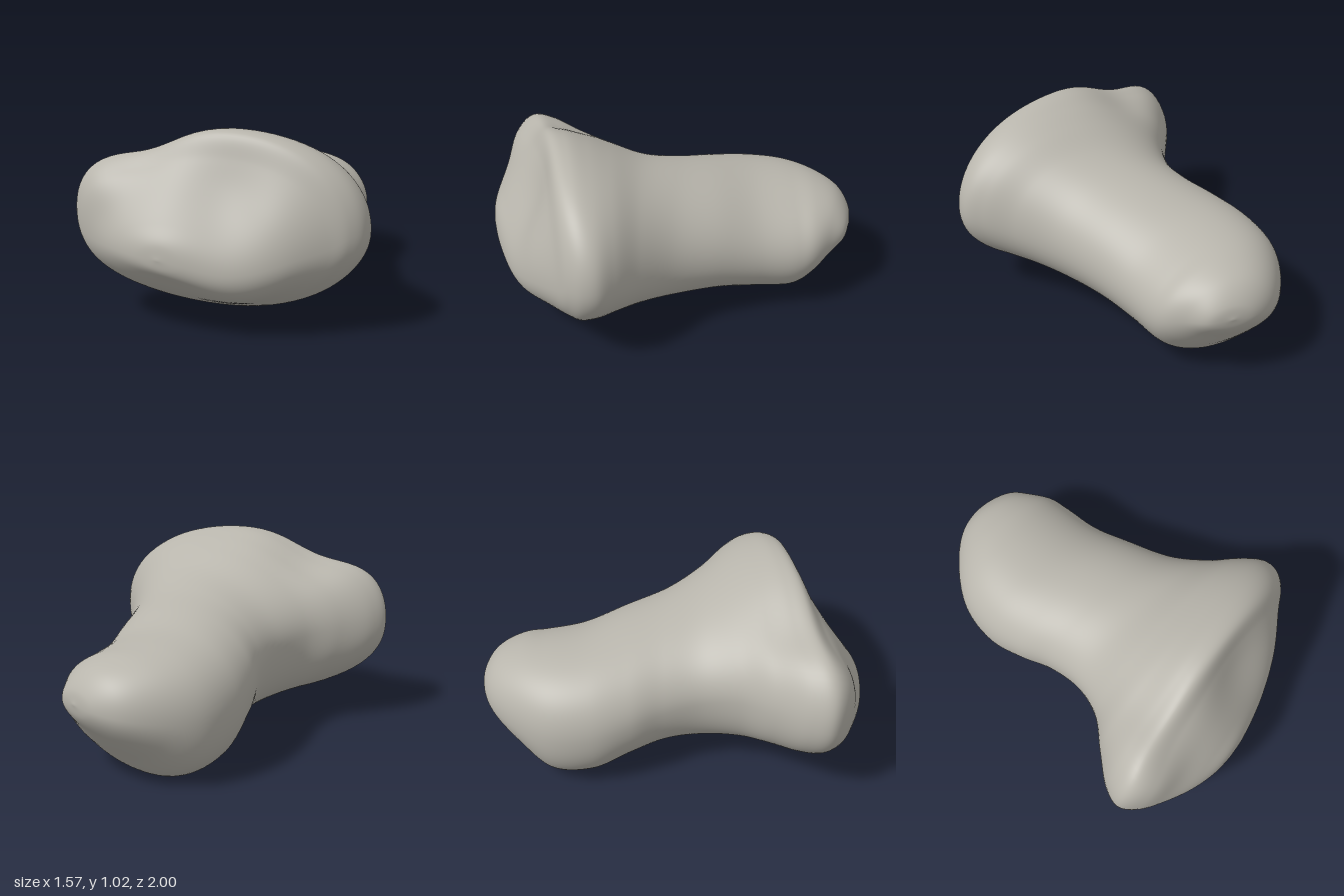
import * as THREE from 'three';
import { mergeVertices } from 'three/addons/utils/BufferGeometryUtils.js';

// Cross-sections from the back end to the front end:
// right edge x, z | left edge x, z | top, widest and bottom height | sideways skew of top and bottom
const SECTIONS = [
  [-0.48, -0.98, -0.23, -0.985, 0.50, 0.42, 0.36, 0, 0],
  [-0.61, -0.90, -0.14, -0.92, 0.585, 0.40, 0.265, -0.05, 0],
  [-0.72, -0.73, -0.05, -0.85, 0.64, 0.37, 0.135, -0.1, -0.05],
  [-0.78, -0.52, 0.00, -0.77, 0.67, 0.345, 0.01, -0.12, -0.18],
  [-0.745, -0.30, 0.08, -0.58, 0.70, 0.36, 0.01, -0.1, -0.18],
  [-0.65, -0.12, 0.20, -0.38, 0.745, 0.41, 0.06, 0, -0.1],
  [-0.54, 0.03, 0.36, -0.16, 0.79, 0.45, 0.08, 0.04, -0.1],
  [-0.46, 0.22, 0.53, -0.02, 0.85, 0.49, 0.09, 0.08, -0.2],
  [-0.46, 0.42, 0.68, 0.07, 0.935, 0.53, 0.095, 0.08, -0.2],
  [-0.53, 0.60, 0.765, 0.14, 0.99, 0.54, 0.10, 0.06, -0.1],
  [-0.595, 0.78, 0.785, 0.22, 1.025, 0.54, 0.10, 0.06, 0],
  [-0.59, 0.89, 0.76, 0.30, 1.015, 0.53, 0.125, 0.06, 0],
  [-0.50, 0.95, 0.70, 0.385, 0.90, 0.48, 0.165, 0.08, 0],
  [-0.36, 0.98, 0.57, 0.57, 0.74, 0.45, 0.23, 0.06, 0],
  [-0.20, 0.995, 0.40, 0.74, 0.60, 0.44, 0.31, 0, 0],
  [-0.05, 0.98, 0.20, 0.88, 0.51, 0.43, 0.37, 0, 0],
];
const BACK_TIP = new THREE.Vector3(-0.35, 0.43, -1);
const FRONT_TIP = new THREE.Vector3(0.07, 0.43, 0.945);

// Soft local swellings and hollows: centre, radius, push
const BUMPS = [
  // knob at the front corner
  { at: new THREE.Vector3(-0.42, 0.69, 0.85), r: 0.19, push: new THREE.Vector3(0, 0.03, 0.055) },
  // saddle between the knob and the crown
  { at: new THREE.Vector3(-0.24, 0.95, 0.64), r: 0.22, push: new THREE.Vector3(0, -0.07, 0) },
  // shallow dish in the upper front face
  { at: new THREE.Vector3(0.28, 0.74, 0.7), r: 0.23, push: new THREE.Vector3(-0.015, -0.02, -0.05) },
  // drooping lower lip of the front face
  { at: new THREE.Vector3(0.38, 0.4, 0.72), r: 0.26, push: new THREE.Vector3(0, -0.08, 0) },
];

const softPow = (v) => Math.sign(v) * Math.pow(Math.abs(v), 0.97);

// One point on the rounded outline of a section
function outlinePoint([x0, z0, x1, z1, top, mid, bottom, skewTop, skewBottom], angle) {
  const c = softPow(Math.cos(angle)), s = softPow(Math.sin(angle));
  const across = c + (s > 0 ? skewTop : skewBottom) * s * s;
  return new THREE.Vector3(
    (x0 + x1) / 2 + across * (x1 - x0) / 2,
    mid + s * (s > 0 ? top - mid : mid - bottom),
    (z0 + z1) / 2 + across * (z1 - z0) / 2
  );
}

// Smooth loft through all sections, closed by a tip at each end
function bodyGeometry(around = 96, along = 153) {
  const positions = [], index = [];
  const curves = Array.from({ length: around }, (_, j) => {
    const angle = (j / around) * Math.PI * 2;
    return new THREE.CatmullRomCurve3(
      [BACK_TIP, ...SECTIONS.map((s) => outlinePoint(s, angle)), FRONT_TIP]);
  });
  for (let i = 0; i <= along; i++) {
    for (let j = 0; j < around; j++) {
      const p = curves[j].getPoint(i / along);
      const q = p.clone();
      for (const b of BUMPS) q.addScaledVector(b.push, Math.exp(-p.distanceToSquared(b.at) / (b.r * b.r)));
      positions.push(q.x, q.y, q.z);
      if (i === along) continue;
      const a = i * around + j, b = i * around + (j + 1) % around;
      const c = a + around, d = b + around;
      // the first and last rings are single points
      if (i > 0) index.push(a, b, c);
      if (i < along - 1) index.push(b, d, c);
    }
  }
  const geometry = new THREE.BufferGeometry();
  geometry.setAttribute('position', new THREE.Float32BufferAttribute(positions, 3));
  geometry.setIndex(index);
  const merged = mergeVertices(geometry, 1e-5);
  merged.computeVertexNormals();
  return merged;
}

export function createModel() {
  const model = new THREE.Group();
  model.name = 'boneShape';
  const boneGrey = new THREE.MeshStandardMaterial({ color: 0xb8b5ac });
  boneGrey.name = 'bone grey';
  const body = new THREE.Mesh(bodyGeometry(), boneGrey);
  body.name = 'boneBody';
  model.add(body);
  return model;
}
